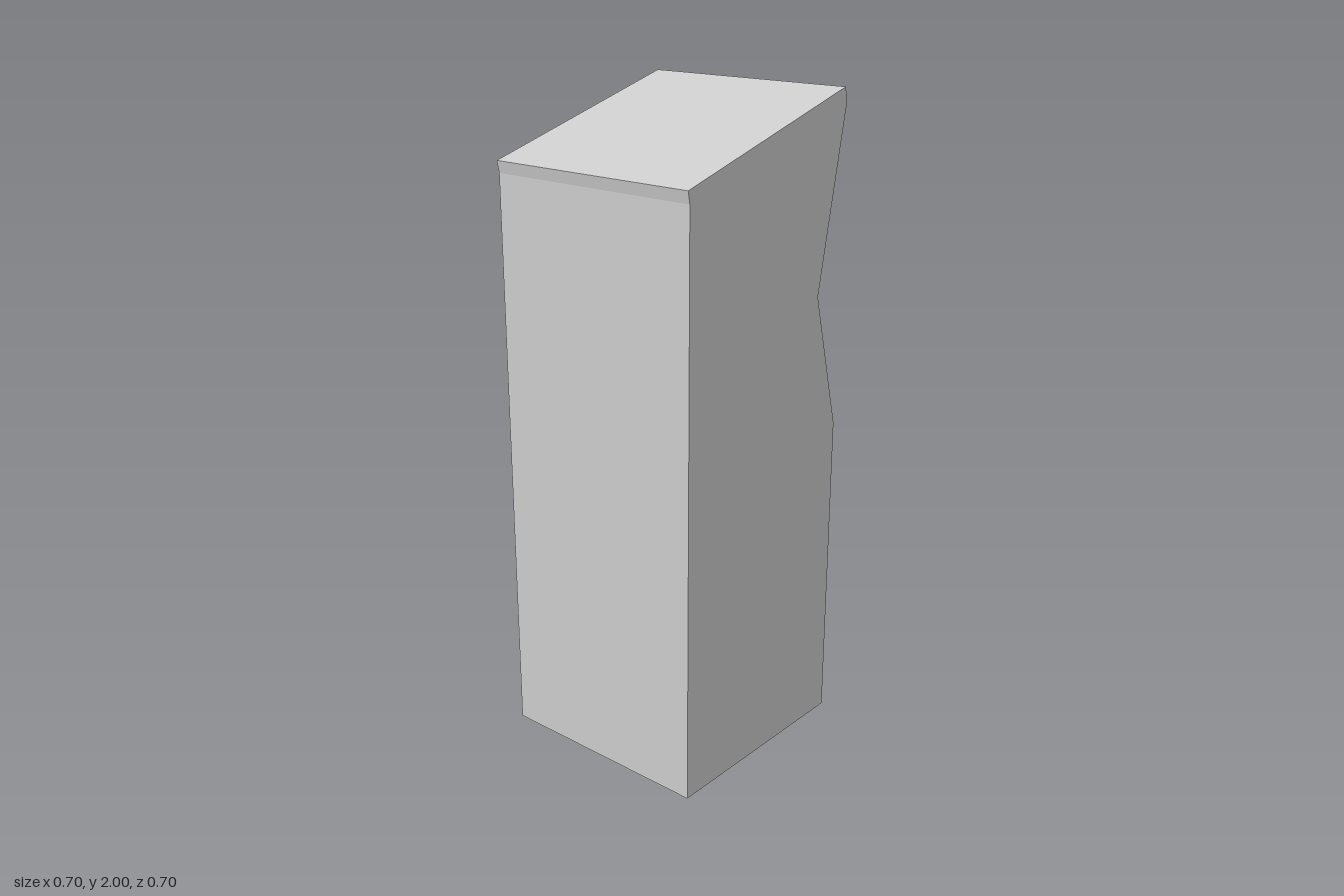
import * as THREE from 'three';

const material = new THREE.MeshStandardMaterial({ color: 0xcccccc, flatShading: true });
const smooth = new THREE.MeshStandardMaterial({ color: 0xcccccc });

// One mesh from flat polygons, each a counter-clockwise list of [x, y, z] corners
function panels(name, polygons) {
  const positions = [];
  for (const p of polygons) {
    for (let i = 1; i < p.length - 1; i++) positions.push(...p[0], ...p[i], ...p[i + 1]);
  }
  const geometry = new THREE.BufferGeometry();
  geometry.setAttribute('position', new THREE.Float32BufferAttribute(positions, 3));
  geometry.computeVertexNormals();
  const mesh = new THREE.Mesh(geometry, material);
  mesh.name = name;
  return mesh;
}

// Polygon plus its mirror image across z = 0
const mirrored = (p) => [p, p.map(([x, y, z]) => [x, y, -z]).reverse()];

// Panel spanning the width between two profile points with half widths za and zb
const span = ([ax, ay], [bx, by], za, zb = za) =>
  [[ax, ay, za], [ax, ay, -za], [bx, by, -zb], [bx, by, zb]];

export function createModel() {
  const group = new THREE.Group();
  const half = 0.35;   // half width of the cabinet
  const rim = 0.31;    // half width of the openings

  // Side silhouette, counter-clockwise; the playing side faces +x
  const profile = [
    [-0.345, 0], [0.35, 0], [0.35, 0.99], [0.24, 1.41], [0.35, 1.96],
    [0.34, 2], [-0.352, 1.806], [-0.345, 1.77],
  ];
  const shape = new THREE.Shape(profile.map(([x, y]) => new THREE.Vector2(x, y)));
  for (const side of [1, -1]) {
    const geometry = new THREE.ShapeGeometry(shape);
    geometry.translate(0, 0, side * half);
    if (side < 0) geometry.index.array.reverse();
    geometry.deleteAttribute('normal');
    geometry.computeVertexNormals();
    const mesh = new THREE.Mesh(geometry, material);
    mesh.name = side > 0 ? 'leftSide' : 'rightSide';
    group.add(mesh);
  }

  // Base, top lip, roof and back
  const names = { 0: 'base', 4: 'topLip', 5: 'roof', 6: 'roofEdge', 7: 'back' };
  for (const [i, name] of Object.entries(names)) {
    group.add(panels(name, [span(profile[i], profile[(+i + 1) % profile.length], half)]));
  }

  // Narrow rims beside the openings, and the rail and sill between them
  const rims = [];
  for (let i = 1; i < 4; i++) {
    const [ax, ay] = profile[i], [bx, by] = profile[i + 1];
    rims.push(...mirrored([[ax, ay, half], [ax, ay, rim], [bx, by, rim], [bx, by, half]]));
  }
  group.add(panels('frontRims', rims));
  group.add(panels('rail', [
    span([0.35, 0.92], [0.35, 0.99], rim),
    span([0.35, 0], [0.35, 0.005], rim),
  ]));

  // Lower recess with bevelled edges
  const lo = [0.35, 0.005], hi = [0.35, 0.92], inLo = [0.305, 0.02], inHi = [0.305, 0.865], inZ = 0.273;
  group.add(panels('lowerRecess', [
    span(inLo, inHi, inZ),
    span(lo, inLo, rim, inZ),
    span(inHi, hi, inZ, rim),
    ...mirrored([[...lo, rim], [...inLo, inZ], [...inHi, inZ], [...hi, rim]]),
  ]));

  // Upper bay: control deck, screen, overhang and marquee
  const deckFront = profile[2], waist = profile[3], top = profile[4];
  const screenLow = [0.17, 1.05], screenHigh = [0.17, 1.71], marqueeLow = [0.29, 1.78];
  const screenZ = 0.25, marqueeZ = 0.265;
  group.add(panels('controlDeck', [span(deckFront, screenLow, rim, screenZ)]));
  group.add(panels('screen', [span(screenLow, screenHigh, screenZ)]));
  group.add(panels('overhang', [span(screenHigh, marqueeLow, screenZ, marqueeZ)]));
  group.add(panels('marquee', [span(marqueeLow, top, marqueeZ, rim)]));

  // Splayed inner cheeks that fold at the waist
  const fold = [0.2, 1.41, marqueeZ];
  group.add(panels('innerCheeks', [
    ...mirrored([fold, [...waist, rim], [...deckFront, rim], [...screenLow, screenZ]]),
    ...mirrored([fold, [...marqueeLow, marqueeZ], [...top, rim], [...waist, rim]]),
    ...mirrored([fold, [...screenLow, screenZ], [...screenHigh, screenZ], [...marqueeLow, marqueeZ]]),
  ]));

  // Two ball-top joysticks
  for (const z of [0.175, -0.18]) {
    const stick = new THREE.Group();
    stick.name = 'joystick';
    const stem = new THREE.Mesh(new THREE.CylinderGeometry(0.01, 0.01, 0.05, 12), smooth);
    stem.name = 'stem';
    stem.position.y = 0.025;
    const ball = new THREE.Mesh(new THREE.SphereGeometry(0.022, 16, 12), smooth);
    ball.name = 'ball';
    ball.position.y = 0.057;
    stick.add(stem, ball);
    stick.position.set(0.288, 1.008, z);
    group.add(stick);
  }
  return group;
}
